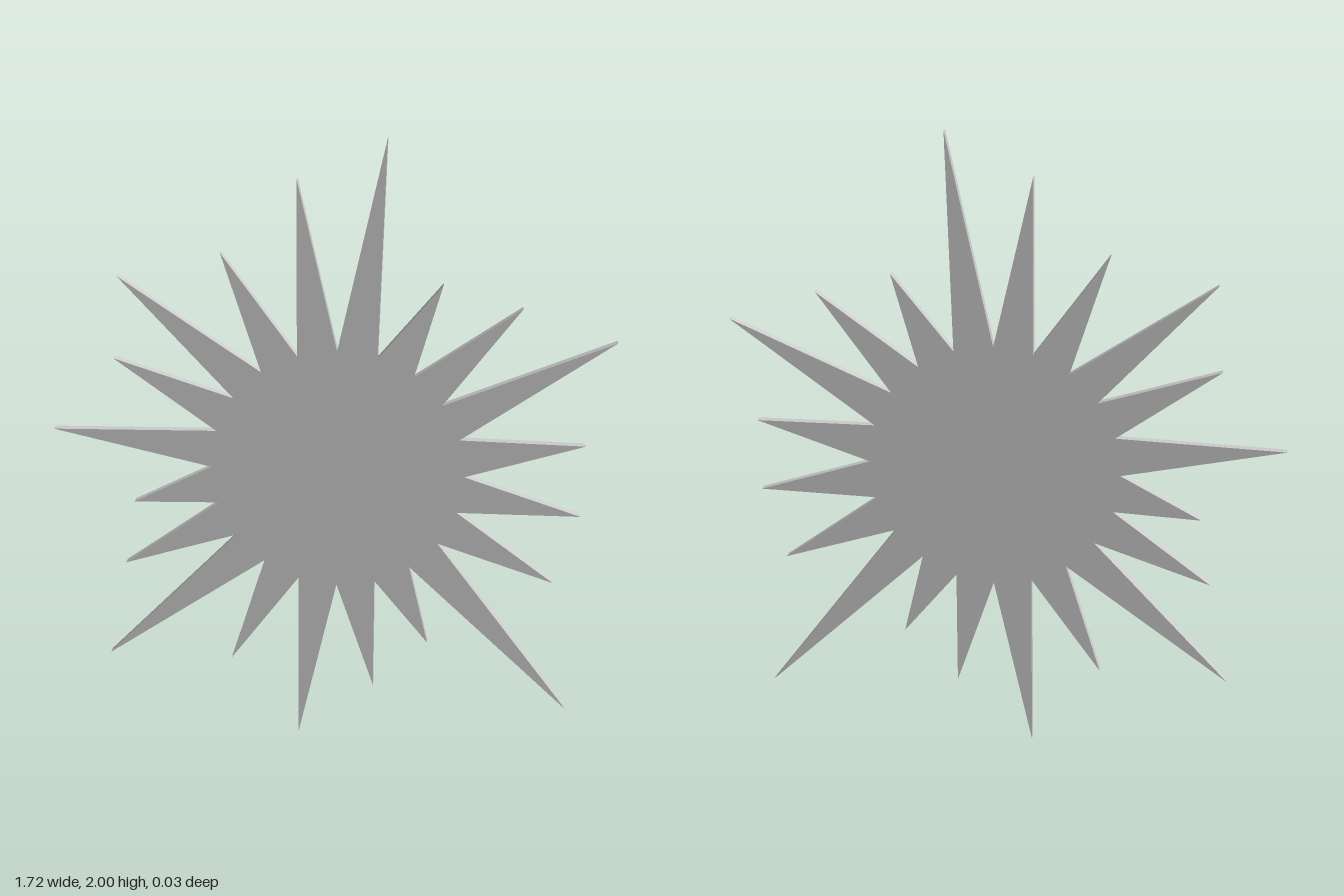
import * as THREE from 'three';

const THICKNESS = 0.026;
const CENTRE = [0.033, 0.967];
const INNER_RADIUS = 0.395;

// Spike tips, counter-clockwise from the +x side
const TIPS = [
  [0.79, 1.085], [0.86, 1.415], [0.58, 1.51], [0.345, 1.575], [0.175, 2.0],
  [-0.085, 1.875], [-0.315, 1.655], [-0.63, 1.575], [-0.655, 1.315], [-0.86, 1.075],
  [-0.615, 0.835], [-0.655, 0.615], [-0.725, 0.275], [-0.315, 0.28], [-0.095, 0.0],
  [0.155, 0.205], [0.33, 0.375], [0.79, 0.15], [0.72, 0.615], [0.79, 0.85],
];

// Outline alternating between evenly spaced notches on a circle and the uneven tips
function burstShape() {
  const points = [];
  TIPS.forEach(([x, y], i) => {
    const a = (i / TIPS.length) * Math.PI * 2;
    points.push(new THREE.Vector2(
      CENTRE[0] + INNER_RADIUS * Math.cos(a),
      CENTRE[1] + INNER_RADIUS * Math.sin(a)));
    points.push(new THREE.Vector2(x, y));
  });
  return new THREE.Shape(points);
}

export function createModel() {
  const group = new THREE.Group();
  group.name = 'starburst';

  // Thin flat plate with sharp edges
  const geometry = new THREE.ExtrudeGeometry(burstShape(), { depth: THICKNESS, bevelEnabled: false });
  geometry.translate(0, 0, -THICKNESS / 2);
  const plate = new THREE.Mesh(geometry, new THREE.MeshStandardMaterial({ color: 0xcccccc, flatShading: true }));
  plate.name = 'burstPlate';
  group.add(plate);

  return group;
}
